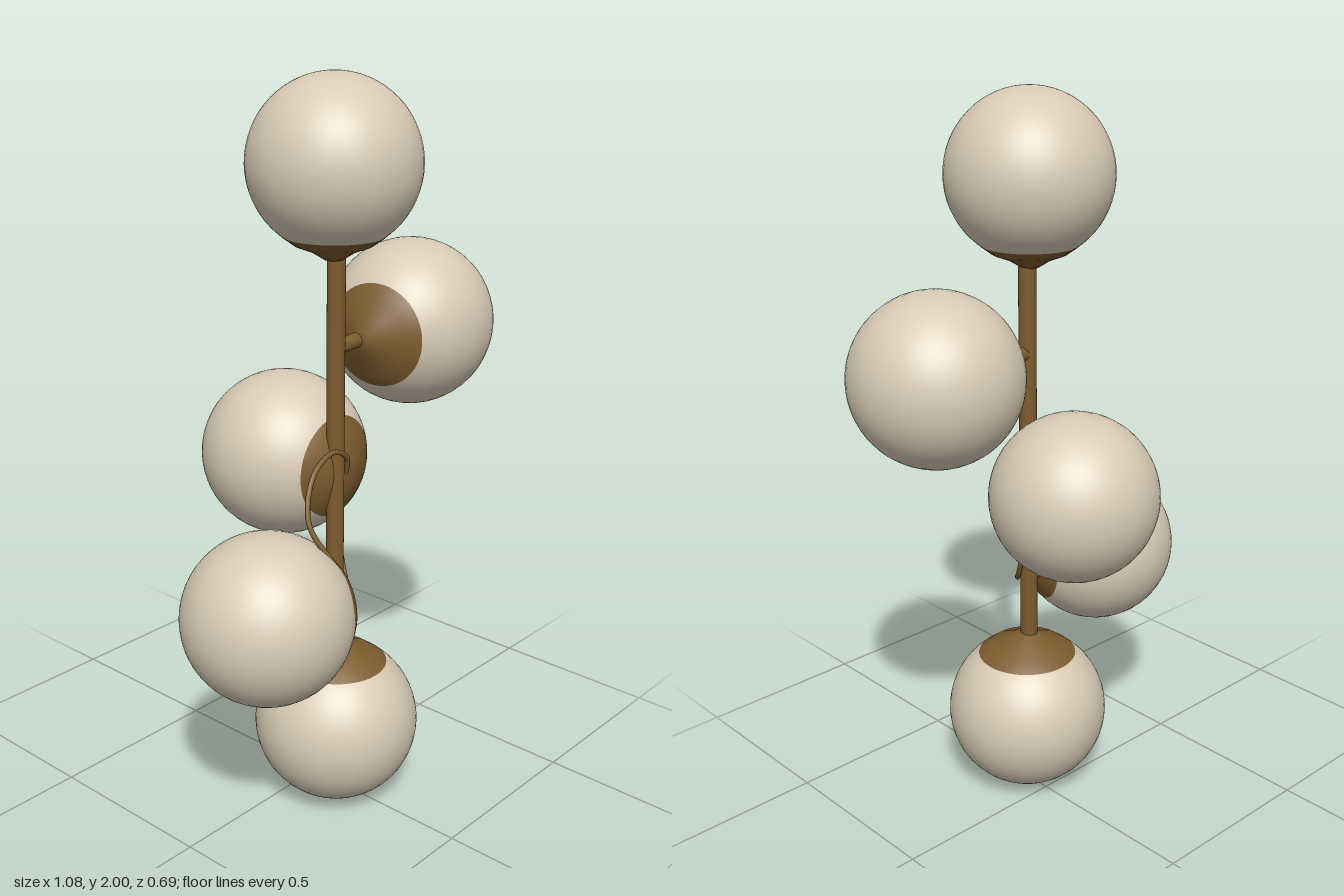
import * as THREE from 'three';

const brass = new THREE.MeshStandardMaterial({ color: 0x7d5c2e });
brass.name = 'brass';
const glass = new THREE.MeshStandardMaterial({ color: 0xd9ccb6 });
glass.name = 'opalGlass';

const V = (x, y, z) => new THREE.Vector3(x, y, z);
const UP = V(0, 1, 0);
const POLE = { x: -0.02, z: 0.092 };

function add(group, name, geometry, material) {
  const mesh = new THREE.Mesh(geometry, material);
  mesh.name = name;
  group.add(mesh);
  return mesh;
}

// Cylinder running between two points
function rod(group, name, a, b, radius) {
  const dir = b.clone().sub(a);
  const mesh = add(group, name, new THREE.CylinderGeometry(radius, radius, dir.length(), 24), brass);
  mesh.position.copy(a).add(b).multiplyScalar(0.5);
  mesh.quaternion.setFromUnitVectors(UP, dir.normalize());
}

// Globe with a shallow brass cup whose axis points along dir
function lampGlobe(name, center, radius, dir, tip) {
  const lamp = new THREE.Group();
  lamp.name = name;
  add(lamp, 'globe', new THREE.SphereGeometry(radius, 48, 32), glass);
  const s = radius / 0.227;
  const profile = [[0.139, 0.18], [0.105, 0.205], [0.06, 0.223], [0.026, tip], [0, tip + 0.001]];
  add(lamp, 'cup', new THREE.LatheGeometry(
    profile.map(([r, h]) => new THREE.Vector2(r * s, h * s)), 48), brass);
  lamp.position.copy(center);
  lamp.quaternion.setFromUnitVectors(UP, dir.clone().normalize());
  return lamp;
}

export function createModel() {
  const model = new THREE.Group();
  model.name = 'globeLamp';

  // Central pole
  rod(model, 'pole', V(POLE.x, 0.43, POLE.z), V(POLE.x, 1.58, POLE.z), 0.024);

  // Globes: centre, radius, cup direction, cup height, has side arm
  const globes = [
    ['topGlobe', V(-0.028, 1.779, 0.09), 0.221, V(0, -1, 0), 0.245, false],
    ['upperSideGlobe', V(0.31, 1.312, 0.072), 0.227, V(-0.98, 0, 0.15), 0.245, true],
    ['rearGlobe', V(0.011, 0.967, -0.12), 0.227, V(0.02, 0, 1), 0.23, false],
    ['lowerSideGlobe', V(-0.314, 0.658, 0.12), 0.227, V(0.935, 0, 0.35), 0.24, true],
    ['bottomGlobe', V(-0.017, 0.229, 0.097), 0.227, V(0, 1, 0), 0.245, false],
  ];
  for (const [name, center, radius, dir, tip, hasArm] of globes) {
    model.add(lampGlobe(name, center, radius, dir, tip));
    if (hasArm) {
      const start = V(POLE.x, center.y - 0.003, POLE.z);
      rod(model, name + 'Arm', start, start.clone().lerp(center, 0.5), 0.02);
    }
  }

  // Loose cable looping around the pole
  const cable = new THREE.CatmullRomCurve3([
    V(-0.175, 0.78, 0.24), V(-0.21, 0.9, 0.17), V(-0.155, 1.005, 0.135),
    V(-0.07, 1.043, 0.125), V(-0.005, 1.01, 0.12), V(0.005, 0.94, 0.1),
    V(0.01, 0.84, 0.075), V(0.016, 0.73, 0.08), V(0, 0.65, 0.115),
    V(-0.045, 0.62, 0.165), V(-0.13, 0.622, 0.225),
  ]);
  add(model, 'cable', new THREE.TubeGeometry(cable, 80, 0.007, 10), brass);

  return model;
}
